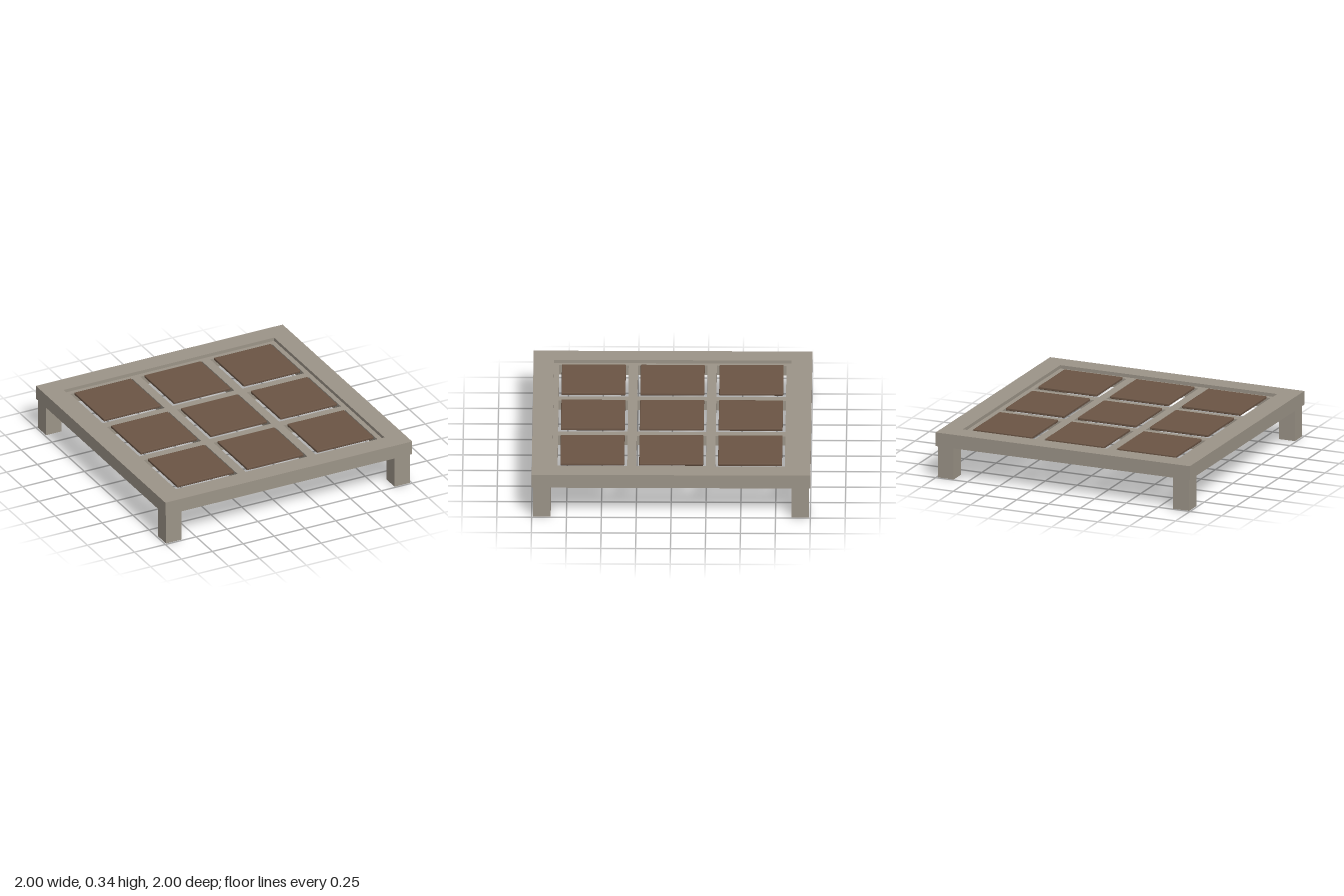
import * as THREE from 'three';
import { RoundedBoxGeometry } from 'three/addons/geometries/RoundedBoxGeometry.js';

const frameMat = new THREE.MeshStandardMaterial({ color: 0x9c9488 });
const panelMat = new THREE.MeshStandardMaterial({ color: 0x6b5545 });

// Adds a square outline of half-size h around (x, y)
function square(path, x, y, h) {
  path.moveTo(x - h, y - h);
  path.lineTo(x + h, y - h);
  path.lineTo(x + h, y + h);
  path.lineTo(x - h, y + h);
  path.closePath();
  return path;
}

// Horizontal square slab with square holes, from y = bottom to y = top
function slab(name, half, holes, bottom, top) {
  const shape = square(new THREE.Shape(), 0, 0, half);
  for (const [x, z, h] of holes) shape.holes.push(square(new THREE.Path(), x, z, h));
  const geo = new THREE.ExtrudeGeometry(shape, { depth: top - bottom, bevelEnabled: false });
  geo.rotateX(-Math.PI / 2);
  geo.translate(0, bottom, 0);
  const mesh = new THREE.Mesh(geo, frameMat);
  mesh.name = name;
  return mesh;
}

export function createModel() {
  const group = new THREE.Group();
  group.name = 'lowTable';

  // Outer frame and recessed lattice of nine openings
  const cells = [];
  for (const x of [-0.566, 0, 0.566]) for (const z of [-0.566, 0, 0.566]) cells.push([x, z, 0.25]);
  group.add(slab('frame', 1, [[0, 0, 0.853]], 0.237, 0.34));
  group.add(slab('lattice', 0.853, cells, 0.24, 0.315));

  // Loose panel over each opening
  const panelGeo = new RoundedBoxGeometry(0.46, 0.02, 0.46, 2, 0.005);
  for (const [x, z] of cells) {
    const panel = new THREE.Mesh(panelGeo, panelMat);
    panel.name = 'panel';
    panel.position.set(x, 0.323, z);
    group.add(panel);
  }

  // Corner legs
  const legGeo = new THREE.BoxGeometry(0.125, 0.237, 0.125);
  for (const x of [-1, 1]) for (const z of [-1, 1]) {
    const leg = new THREE.Mesh(legGeo, frameMat);
    leg.name = 'leg';
    leg.position.set(x * 0.926, 0.1185, z * 0.926);
    group.add(leg);
  }
  return group;
}
